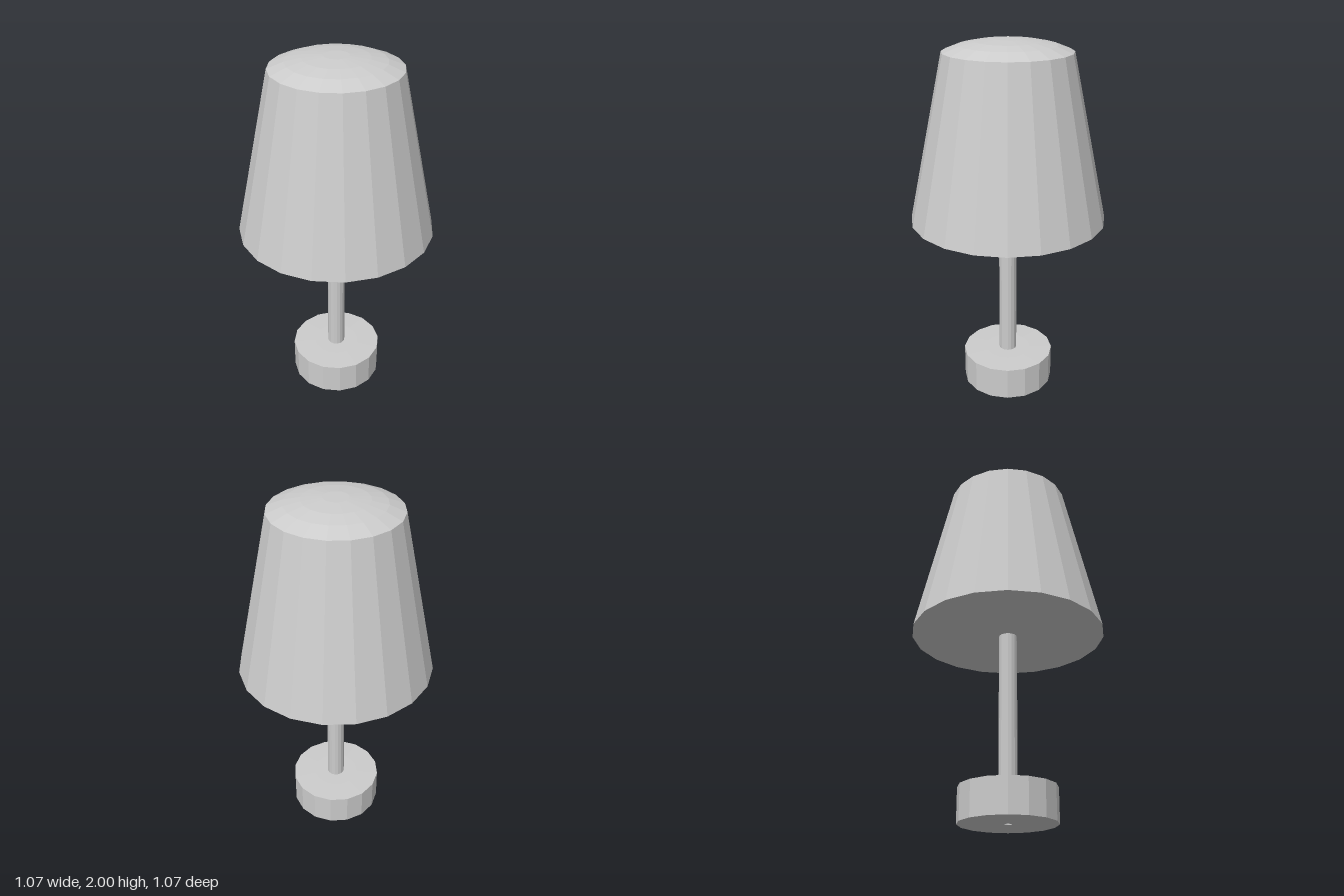
import * as THREE from 'three';

export function createModel() {
  const lamp = new THREE.Group();
  lamp.name = 'tableLamp';
  const grey = new THREE.MeshStandardMaterial({ color: 0xcccccc, flatShading: true });
  grey.name = 'lightGrey';

  // Turned part from a [radius, height] profile, listed from bottom to top
  function turned(name, profile, sides) {
    const points = profile.map(([r, y]) => new THREE.Vector2(r, y));
    const mesh = new THREE.Mesh(new THREE.LatheGeometry(points, sides), grey);
    mesh.name = name;
    lamp.add(mesh);
  }

  // Round foot with a small recess underneath and a barely raised top
  turned('base', [
    [0, 0.05], [0.02, 0.05], [0.02, 0], [0.26, 0], [0.26, 0.186], [0.13, 0.19], [0, 0.19],
  ], 16);

  // Slim stem, running just into the base and the shade
  turned('stem', [[0.05, 0.17], [0.05, 1.05]], 16);

  // Tapered shade, closed below, with a shallow stepped dome on top
  turned('shade', [
    [0, 1.035], [0.537, 1.035], [0.342, 1.94],
    [0.257, 1.973], [0.172, 1.99], [0.066, 2], [0, 2],
  ], 20);

  return lamp;
}
